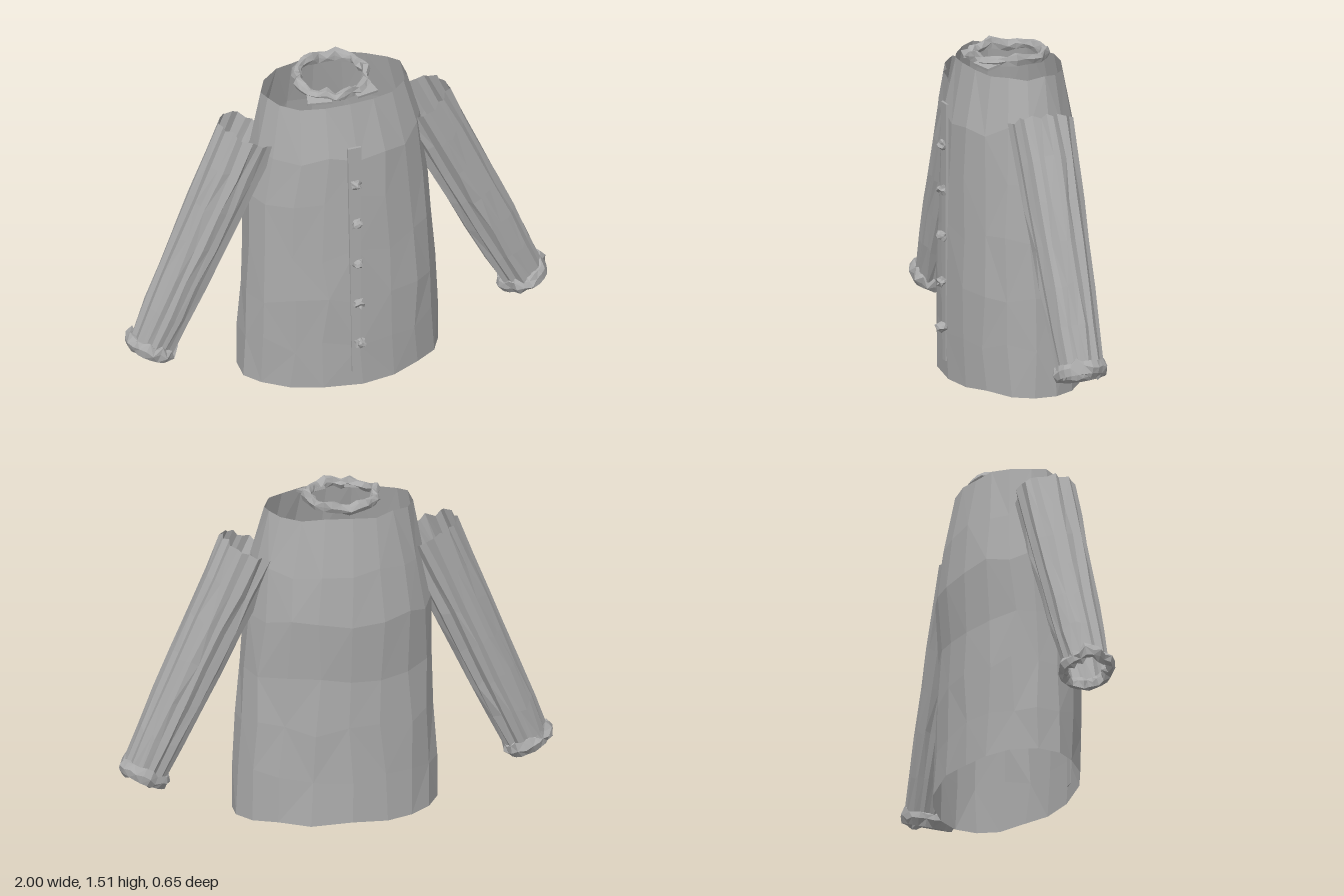
import * as THREE from 'three';

const cloth = new THREE.MeshStandardMaterial({ color: 0xaaaaaa, flatShading: true, side: THREE.DoubleSide });
cloth.name = 'grey cloth';

// Repeatable noise in -1..1
const noise = (i, j, k = 0) => {
  const s = Math.sin(i * 12.9898 + j * 78.233 + k * 37.719 + 1.3) * 43758.5453;
  return 2 * (s - Math.floor(s)) - 1;
};

// Skin over rings: point(i, j) gives [x, y, z]; rings run anticlockwise seen from above
function loft(cols, rows, point, closeRows = false) {
  const pos = [], index = [];
  for (let j = 0; j < rows; j++) for (let i = 0; i < cols; i++) pos.push(...point(i, j));
  for (let j = 0; j < (closeRows ? rows : rows - 1); j++) {
    for (let i = 0; i < cols; i++) {
      const n = (i + 1) % cols, u = (j + 1) % rows;
      const a = j * cols + i, b = j * cols + n, c = u * cols + n, d = u * cols + i;
      if ((i + j) % 2) index.push(a, b, c, a, c, d);
      else index.push(a, b, d, b, c, d);
    }
  }
  const g = new THREE.BufferGeometry();
  g.setAttribute('position', new THREE.Float32BufferAttribute(pos, 3));
  g.setIndex(index);
  g.computeVertexNormals();
  return g;
}

function addMesh(parent, name, geometry) {
  const m = new THREE.Mesh(geometry, cloth);
  m.name = name;
  parent.add(m);
  return m;
}

// Crumpled ruffle: a lumpy ring around y
function ruffle(radius, width, height, seed, cols = 22) {
  const rows = 6;
  return loft(cols, rows, (i, j) => {
    const a = (i / cols) * Math.PI * 2, t = (j / rows) * Math.PI * 2;
    const k = 1 + 0.4 * noise(i, j, seed);
    const r = radius + width * Math.cos(t) * k + 0.008 * noise(i, 9, seed);
    const y = height * Math.sin(t) * k + 0.012 * noise(i, 5, seed);
    return [Math.sin(a) * r, y, Math.cos(a) * r];
  }, true);
}

// Torso sections: y, right edge, left edge, back edge, front edge
const torsoRows = [
  [0.01, -0.47, 0.468, -0.318, 0.28],
  [0.22, -0.463, 0.46, -0.308, 0.285],
  [0.45, -0.455, 0.45, -0.302, 0.285],
  [0.7, -0.447, 0.43, -0.293, 0.28],
  [0.97, -0.44, 0.41, -0.314, 0.27],
  [1.2, -0.4, 0.38, -0.29, 0.262],
  [1.44, -0.355, 0.32, -0.24, 0.2],
];

function torso() {
  const cols = 18;
  return loft(cols, torsoRows.length, (i, j) => {
    const [y, x0, x1, z0, z1] = torsoRows[j];
    const a = ((i + 0.12 * noise(i, j)) / cols) * Math.PI * 2;
    const k = 1 + 0.012 * noise(i, j, 4);
    const inner = j > 0 && j < torsoRows.length - 1;
    return [
      (x0 + x1) / 2 + ((x1 - x0) / 2) * Math.sin(a) * k,
      y + (inner ? 0.03 : 0.01) * noise(i, j, 2),
      (z0 + z1) / 2 + ((z1 - z0) / 2) * Math.cos(a) * k,
    ];
  });
}

// Pleated sleeve tube along y with a ruffled cuff at its lower end
function sleeve(name, top, bottom, seed) {
  const g = new THREE.Group();
  g.name = name;
  const dx = top[0] - bottom[0], dy = top[1] - bottom[1];
  const length = Math.hypot(dx, dy), cols = 26, rows = 7;
  addMesh(g, 'sleeveTube', loft(cols, rows, (i, j) => {
    const v = j / (rows - 1);
    const a = ((i + 0.25 * noise(i, j, seed)) / cols) * Math.PI * 2;
    const pleat = (i % 2 ? 0.05 : -0.05) + 0.05 * noise(i, 0, seed) + 0.02 * noise(i, j, seed);
    const r = (0.098 + 0.04 * Math.pow(v, 0.7)) * (1 + pleat);
    const y = v * length + 0.015 * noise(i, j, seed + 3);
    return [Math.sin(a) * r, y, Math.cos(a) * r];
  }));
  addMesh(g, 'cuff', ruffle(0.098, 0.021, 0.035, seed + 7)).position.y = 0.005;
  g.position.set(bottom[0], bottom[1], -0.015);
  g.rotation.z = -Math.atan2(dx, dy);
  return g;
}

// Small spiky knotted button
function button(seed) {
  const g = new THREE.IcosahedronGeometry(0.024, 1), p = g.attributes.position;
  for (let i = 0; i < p.count; i++) {
    const [x, y, z] = [p.getX(i), p.getY(i), p.getZ(i)].map((c) => Math.round(c * 1000));
    const k = 1 + 0.35 * noise(x + seed, y, z);
    p.setXYZ(i, p.getX(i) * k, p.getY(i) * k, p.getZ(i) * k);
  }
  g.computeVertexNormals();
  return g;
}

export function createModel() {
  const shirt = new THREE.Group();
  shirt.name = 'shirt';
  addMesh(shirt, 'torso', torso());
  shirt.add(sleeve('rightSleeve', [-0.425, 1.27], [-0.885, 0.225], 11));
  shirt.add(sleeve('leftSleeve', [0.385, 1.265], [0.878, 0.225], 23));

  // Ruffled collar with two small front flaps
  const collar = new THREE.Group();
  collar.name = 'collar';
  collar.position.set(-0.03, 1.472, -0.02);
  addMesh(collar, 'collarRuffle', ruffle(0.157, 0.02, 0.024, 31, 26)).scale.z = 1.06;
  for (const side of [-1, 1]) {
    const flap = addMesh(collar, 'collarFlap', new THREE.BoxGeometry(0.11, 0.012, 0.07));
    flap.position.set(side * 0.105, -0.015, 0.14);
    flap.rotation.set(0.2, side * 0.25, side * -0.1);
  }
  shirt.add(collar);

  // Button strip, narrower towards the hem
  const strip = new THREE.BoxGeometry(0.064, 1.19, 0.012, 1, 5, 1), p = strip.attributes.position;
  for (let i = 0; i < p.count; i++) {
    const v = p.getY(i) / 1.19 + 0.5;
    p.setX(i, p.getX(i) * (0.6 + 0.4 * v) - 0.008 * v);
  }
  strip.computeVertexNormals();
  addMesh(shirt, 'buttonStrip', strip).position.set(-0.02, 0.675, 0.283);

  // Buttons down the front
  [1.08, 0.87, 0.66, 0.447, 0.237].forEach((y, i) => {
    addMesh(shirt, 'button', button(i * 5)).position.set(-0.023 + 0.004 * i, y, 0.295 + 0.003 * i);
  });
  return shirt;
}
